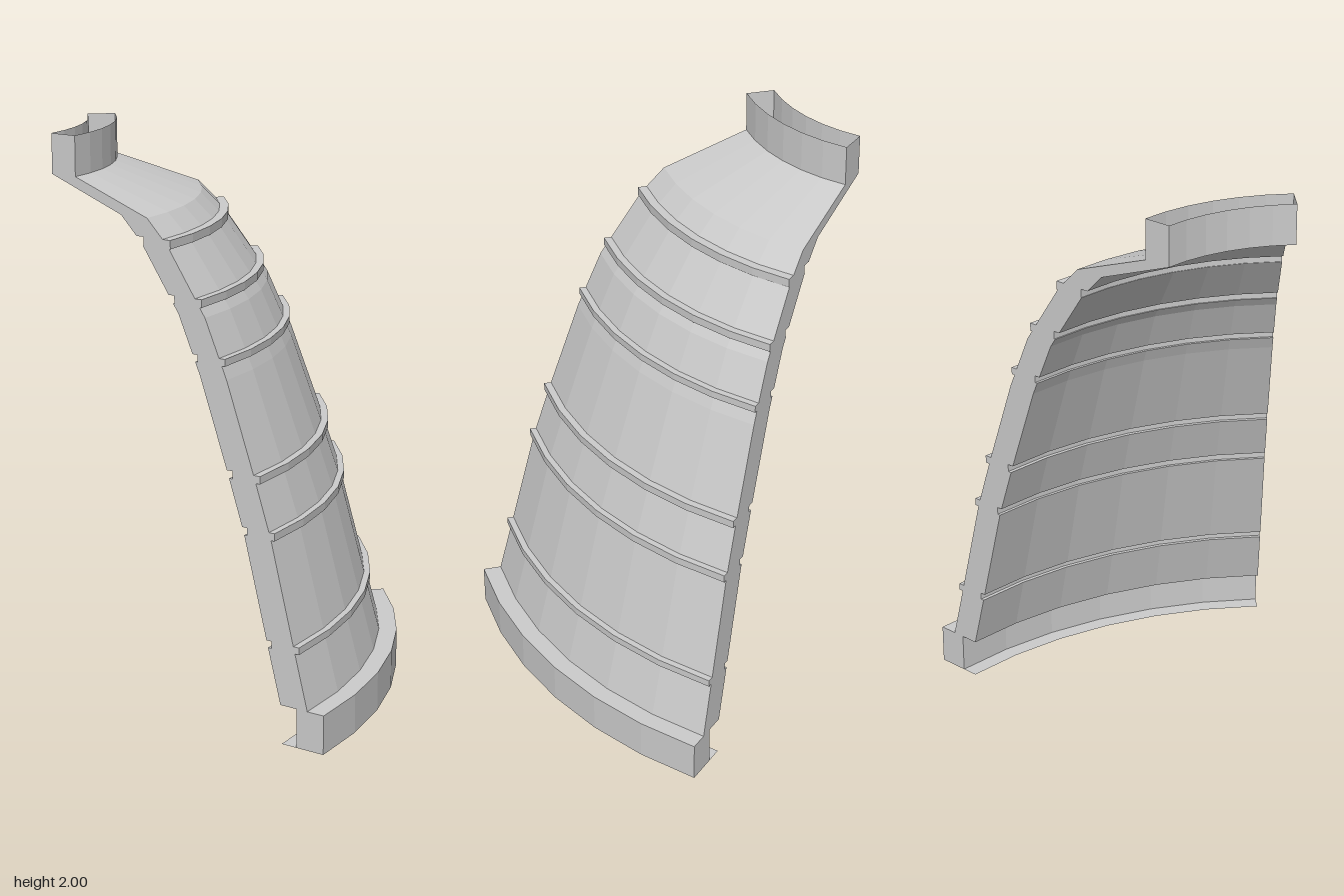
import * as THREE from 'three';
import { mergeGeometries } from 'three/addons/utils/BufferGeometryUtils.js';

const HALF = Math.PI / 8;   // the piece is one eighth of a round dome
const AXIS_X = -1.135;      // dome axis
const WALL = 0.108;         // wall thickness, measured horizontally

// Outer wall as [radius, height], bottom to top
const OUTER = [[1.65, 0.14], [1.595, 0.35], [1.5, 0.72], [1.434, 0.92], [1.322, 1.24],
  [1.235, 1.44], [1.083, 1.665], [1.0, 1.75], [0.7, 1.86]];
const INNER = OUTER.map(([r, y], i) => [r - (i === OUTER.length - 1 ? 0.1 : WALL), y]);

// Raised bands as [bottom, top, outer radius]
const BANDS = [[0.335, 0.36, 1.615], [0.715, 0.742, 1.515], [0.903, 0.93, 1.456],
  [1.285, 1.31, 1.315], [1.472, 1.5, 1.221], [1.655, 1.685, 1.095]];

const material = new THREE.MeshStandardMaterial({ color: 0xcccccc, flatShading: true, side: THREE.DoubleSide });

function radiusAt(profile, y) {
  for (let i = 1; i < profile.length; i++) {
    const [r0, y0] = profile[i - 1], [r1, y1] = profile[i];
    if (y <= y1) return r0 + (r1 - r0) * (y - y0) / (y1 - y0);
  }
  return profile[profile.length - 1][0];
}

// Part of a profile between two heights
function slice(profile, a, b) {
  return [[radiusAt(profile, a), a], ...profile.filter(([, y]) => y > a + 0.005 && y < b - 0.005), [radiusAt(profile, b), b]];
}

// Sweeps a cross-section around the dome axis and closes both cut ends
function sector(name, section, { open = false, capped = true } = {}) {
  const pts = section.map(([r, y]) => new THREE.Vector2(r, y));
  const sweep = open ? pts : [...pts, pts[0].clone()];
  const parts = [new THREE.LatheGeometry(sweep, 6, Math.PI / 2 - HALF, 2 * HALF)];
  if (capped) {
    for (const a of [-HALF, HALF]) parts.push(new THREE.ShapeGeometry(new THREE.Shape(pts)).rotateY(a));
  }
  const mesh = new THREE.Mesh(mergeGeometries(parts), material);
  mesh.name = name;
  mesh.position.x = AXIS_X;
  return mesh;
}

// Rectangular cross-section, starting at the inner top corner
const rect = (r0, r1, y0, y1) => [[r0, y1], [r0, y0], [r1, y0], [r1, y1]];

export function createModel() {
  const group = new THREE.Group();
  group.name = 'domeSegment';

  // Foot with a flat lip turned inward at the ground
  group.add(sector('baseRim', rect(1.607, 1.715, 0, 0.14)));
  group.add(sector('baseLip', [[1.548, 0], [1.607, 0]], { open: true, capped: false }));

  // Wall panels between the bands; the last one forms the shoulder under the collar
  const starts = [0.14, ...BANDS.map(b => b[1])];
  const ends = [...BANDS.map(b => b[0]), 1.86];
  starts.forEach((a, i) => {
    const section = [...slice(INNER, a, ends[i]).reverse(), ...slice(OUTER, a, ends[i])];
    const last = i === starts.length - 1;
    group.add(sector(last ? 'shoulder' : `wallPanel${i + 1}`, section, { open: last }));
  });

  // Bands stand out from the wall and leave a shallow groove inside
  BANDS.forEach(([y0, y1, r], i) => group.add(sector(`band${i + 1}`, rect(r - 0.111, r, y0, y1))));

  // Collar, open at top and bottom
  const collar = new THREE.Group();
  collar.name = 'collar';
  const ends2 = rect(0.6, 0.7, 1.86, 2);
  collar.add(sector('collarInnerWall', [ends2[0], ends2[1]], { open: true, capped: false }));
  collar.add(sector('collarOuterWall', [ends2[2], ends2[3]], { open: true, capped: false }));
  for (const a of [-HALF, HALF]) {
    const end = new THREE.Mesh(new THREE.PlaneGeometry(0.1, 0.14).translate(0.65, 1.93, 0).rotateY(a), material);
    end.name = 'collarEnd';
    end.position.x = AXIS_X;
    collar.add(end);
  }
  group.add(collar);
  return group;
}
